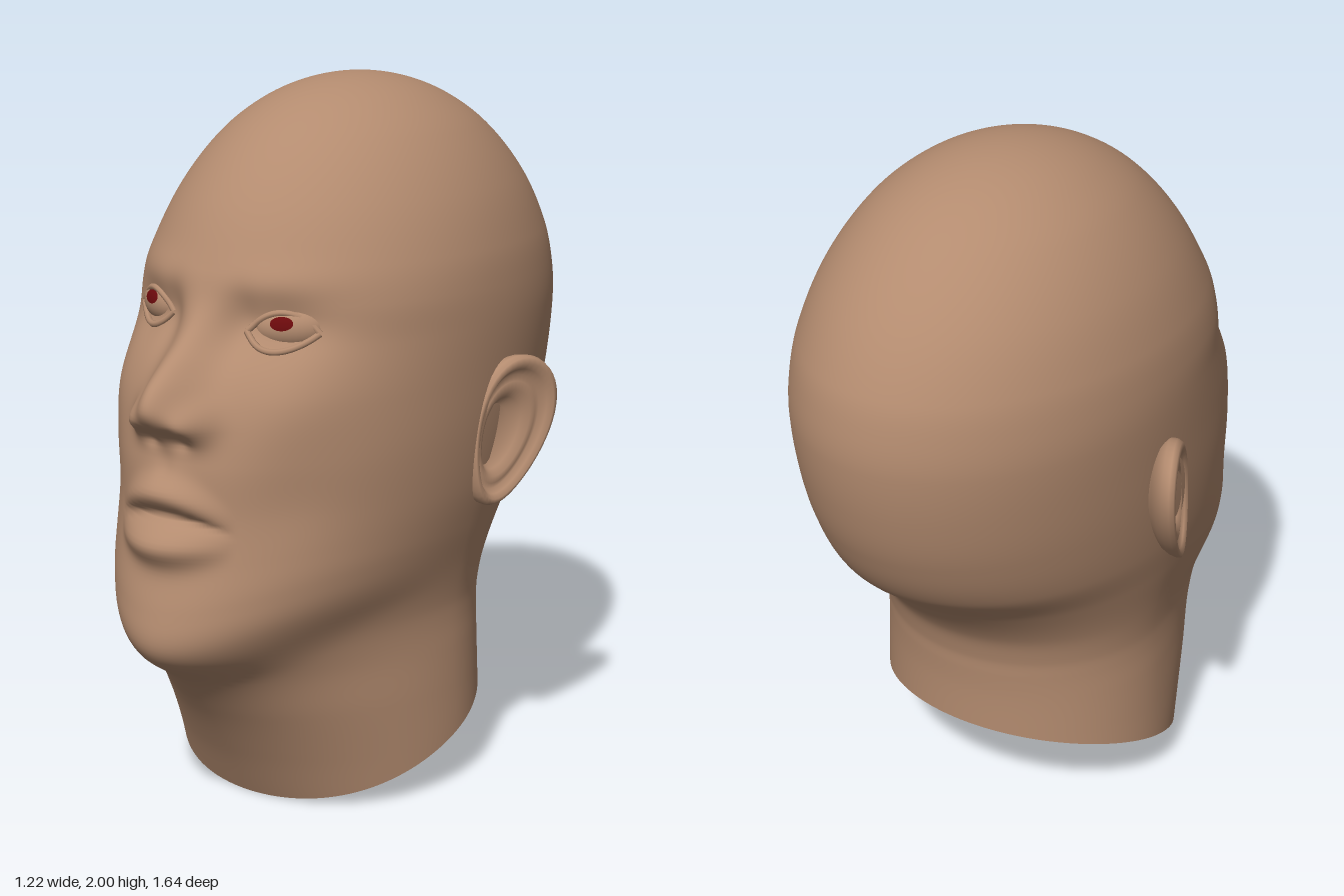
import * as THREE from 'three';
import { mergeVertices } from 'three/addons/utils/BufferGeometryUtils.js';

// Double-sided because the neck is open underneath
const skin = new THREE.MeshStandardMaterial({ color: 0xb38b6f, side: THREE.DoubleSide });
skin.name = 'skin';
const red = new THREE.MeshStandardMaterial({ color: 0x6c0a0c });
red.name = 'dark red iris';

// Head cross-sections: height, front z, back z, half width, centre z, front roundness
const SECTIONS = [
  [2.0, -0.12, -0.12, 0, -0.12, 2],
  [1.97, 0.083, -0.32, 0.158, -0.12, 2],
  [1.93, 0.187, -0.422, 0.236, -0.12, 2],
  [1.85, 0.314, -0.55, 0.332, -0.12, 2],
  [1.7, 0.457, -0.7, 0.434, -0.11, 2],
  [1.55, 0.543, -0.788, 0.491, -0.1, 2.05],
  [1.45, 0.58, -0.815, 0.51, -0.1, 2.1],
  [1.35, 0.615, -0.822, 0.517, -0.1, 2.05],
  [1.2, 0.695, -0.803, 0.515, -0.08, 2],
  [1.05, 0.735, -0.76, 0.508, -0.05, 2],
  [0.9, 0.745, -0.68, 0.493, -0.02, 2],
  [0.78, 0.765, -0.55, 0.472, 0, 2],
  [0.65, 0.8, -0.447, 0.445, 0, 1.95],
  [0.56, 0.81, -0.415, 0.432, 0, 1.9],
  [0.5, 0.775, -0.408, 0.431, 0, 1.85],
  [0.42, 0.665, -0.402, 0.436, 0, 1.8],
  [0.3, 0.565, -0.4, 0.443, 0, 1.85],
  [0.15, 0.47, -0.4, 0.45, 0, 1.9],
  [0, 0.39, -0.4, 0.45, 0, 2],
];
// Nose ridge: height, projection, half width
const NOSE = [
  [1.54, 0, 0.07], [1.45, 0.008, 0.06], [1.4, 0.025, 0.058], [1.35, 0.055, 0.06], [1.3, 0.095, 0.066],
  [1.25, 0.125, 0.074], [1.2, 0.124, 0.084], [1.16, 0.09, 0.09], [1.13, 0.042, 0.09], [1.1, 0.012, 0.09], [1.07, 0, 0.09],
];

// Smooth interpolation of a table; the square root keeps the crown round
const depth = (y) => Math.sqrt(Math.max(0, 2 - y));
function sample(table, y, col) {
  const w = depth(y), last = table.length - 1;
  const W = (i) => depth(table[i][0]), V = (i) => table[i][col];
  if (w <= W(0)) return V(0);
  if (w >= W(last)) return V(last);
  let i = 0;
  while (w > W(i + 1)) i++;
  const slope = (k) => {
    const p = Math.max(0, k - 1), q = Math.min(last, k + 1);
    return (V(q) - V(p)) / (W(q) - W(p));
  };
  const h = W(i + 1) - W(i), t = (w - W(i)) / h, u = 1 - t;
  return V(i) * (1 + 2 * t) * u * u + slope(i) * h * t * u * u +
    V(i + 1) * t * t * (3 - 2 * t) - slope(i + 1) * h * t * t * u;
}

const gauss = (d, r) => Math.exp(-(d / r) * (d / r));
const spot = (x, y, cx, cy, rx, ry) => gauss(Math.abs(x) - cx, rx) * gauss(y - cy, ry);

// Facial relief added to the front of the skull
function relief(x, y) {
  let d = sample(NOSE, y, 1) * gauss(x, sample(NOSE, y, 2));
  d += 0.042 * spot(x, y, 0.09, 1.16, 0.042, 0.05);    // nostril wings
  d -= 0.015 * spot(x, y, 0.05, 1.11, 0.028, 0.02);    // nostrils
  d -= 0.042 * spot(x, y, 0.21, 1.395, 0.12, 0.075);   // eye sockets
  d -= 0.022 * spot(x, y, 0.11, 1.4, 0.045, 0.08);     // inner eye corners
  d += 0.01 * spot(x, y, 0.2, 1.51, 0.15, 0.05);       // brows
  d += 0.015 * spot(x, y, 0.31, 1.2, 0.1, 0.1);        // cheekbones
  d -= 0.012 * spot(x, y, 0.3, 0.95, 0.09, 0.12);      // hollow cheeks
  const span = Math.max(0, 1 - (x / 0.19) ** 2);
  const m = (y + x * x - 0.91) / (0.45 + 0.55 * span); // lips thin out toward the corners
  const full = Math.pow(span, 1.3);
  d += full * (0.042 * gauss(m - 0.06, 0.043) + 0.052 * gauss(m + 0.075, 0.052)); // lips
  d -= 0.022 * span * gauss(m, 0.016);                 // mouth line
  d -= 0.006 * gauss(x, 0.025) * gauss(y - 1.04, 0.035); // groove under the nose
  return d;
}

function surfaceZ(s, y, front) {
  const zc = sample(SECTIONS, y, 4), q = Math.min(1, Math.abs(s));
  if (!front) return zc + (sample(SECTIONS, y, 2) - zc) * Math.sqrt(1 - q * q);
  const jawY = y - 0.2 * q * q * gauss(y - 0.6, 0.2); // jaw rises toward the ears
  const n = sample(SECTIONS, y, 5);
  const bulge = Math.pow(1 - Math.pow(q, n), 1 / n);
  return zc + (sample(SECTIONS, jawY, 1) - zc) * bulge +
    relief(s * sample(SECTIONS, y, 3), y) * Math.min(1, bulge * 3);
}
const faceZ = (x, y) => surfaceZ(x / sample(SECTIONS, y, 3), y, true);
const neckCut = (z) => Math.max(0, 0.17 - 0.38 * z - 0.13 * z * z);

function addMesh(parent, name, geometry, material) {
  const mesh = new THREE.Mesh(geometry, material);
  mesh.name = name;
  parent.add(mesh);
}

// Skull, face and neck as one lofted skin, cut at a slant and open below
function addHead(parent) {
  const ROWS = 240, COLS = 180, pos = [], idx = [];
  for (let r = 0; r <= ROWS; r++) {
    const level = 2 - 2 * (r / ROWS) ** 2;
    for (let c = 0; c < COLS; c++) {
      const phi = (c / COLS) * Math.PI * 2;
      const theta = phi - 0.5 * Math.sin(phi); // finer toward the face
      const s = Math.sin(theta), front = Math.cos(theta) > 0;
      let y = level, z = surfaceZ(s, y, front);
      if (level < 0.55) {
        for (let k = 0; k < 8; k++) {
          y = THREE.MathUtils.lerp(neckCut(z), 0.55, level / 0.55);
          z = surfaceZ(s, y, front);
        }
      }
      pos.push(s * sample(SECTIONS, y, 3), y, z);
      if (r < ROWS) {
        const a = r * COLS + c, b = r * COLS + (c + 1) % COLS;
        idx.push(a, a + COLS, b + COLS);
        if (r > 0) idx.push(a, b + COLS, b);
      }
    }
  }
  const g = new THREE.BufferGeometry();
  g.setAttribute('position', new THREE.Float32BufferAttribute(pos, 3));
  g.setIndex(idx);
  g.computeVertexNormals();
  addMesh(parent, 'head', g, skin);
}

// Eyeball, iris and two lids
function addEye(parent, side, cx, cy) {
  const eye = new THREE.Group();
  eye.name = side > 0 ? 'leftEye' : 'rightEye';
  parent.add(eye);
  const ball = new THREE.Group();
  ball.name = 'eyeball';
  ball.position.set(cx, cy, faceZ(cx, cy) - 0.037);
  ball.rotation.y = side * 0.5;
  ball.scale.set(0.1, 0.06, 0.055);
  eye.add(ball);
  addMesh(ball, 'eyeWhite', new THREE.SphereGeometry(1, 32, 20), skin);
  // The iris looks forward and slightly up
  const cap = new THREE.SphereGeometry(1.04, 20, 6, 0, Math.PI * 2, 0, 0.31);
  cap.rotateX(Math.PI / 2 - 0.32);
  cap.rotateY(-side * 0.2);
  addMesh(ball, 'iris', cap, red);
  for (const [name, rise] of [['upperLid', 0.052], ['lowerLid', -0.045]]) {
    const pts = [];
    for (let i = 0; i <= 10; i++) {
      const t = i / 5 - 1, x = cx + t * 0.088, y = cy - 0.008 + rise * (1 - t * t);
      pts.push(new THREE.Vector3(x, y, faceZ(x, y) + 0.003 * (1 - t * t)));
    }
    addMesh(eye, name, new THREE.TubeGeometry(new THREE.CatmullRomCurve3(pts), 28, 0.009, 8), skin);
  }
}

// Ear: a dished lathe, stretched to an egg, tilted back and swung out from the head
function addEar(parent, side, cy) {
  const profile = [[0.5, -0.11], [0.6, -0.075], [0.8, -0.05], [0.93, -0.032], [0.99, -0.01], [1, 0.012], [0.97, 0.026],
    [0.9, 0.03], [0.83, 0.02], [0.76, 0.008], [0.68, 0.012], [0.58, 0.014], [0.48, 0], [0.36, -0.016], [0, -0.02]];
  let g = new THREE.LatheGeometry(profile.map(([r, h]) => new THREE.Vector2(r, h)), 48);
  g.deleteAttribute('uv');
  g.deleteAttribute('normal');
  g = mergeVertices(g, 1e-5);
  const p = g.attributes.position;
  for (let i = 0; i < p.count; i++) {
    const h = p.getY(i), lu = p.getX(i), lv = -side * p.getZ(i);
    const inner = 1 - Math.min(1, Math.hypot(lu, lv));
    const u = 0.114 * (lu * (1 + 0.28 * lv) - 0.3 * inner);
    const v = 0.215 * (lv - 0.12 * inner);
    p.setXYZ(i, side * (0.529 + 0.4 * u + 0.12 * v + h),
      cy + 0.94 * v - 0.34 * u, -0.092 - 0.94 * u - 0.34 * v);
  }
  g.computeVertexNormals();
  addMesh(parent, side > 0 ? 'leftEar' : 'rightEar', g, skin);
}

export function createModel() {
  const model = new THREE.Group();
  model.name = 'headBust';
  addHead(model);
  addEye(model, 1, 0.21, 1.39);
  addEye(model, -1, -0.22, 1.41);
  addEar(model, 1, 1.045);
  addEar(model, -1, 1.065);
  return model;
}
